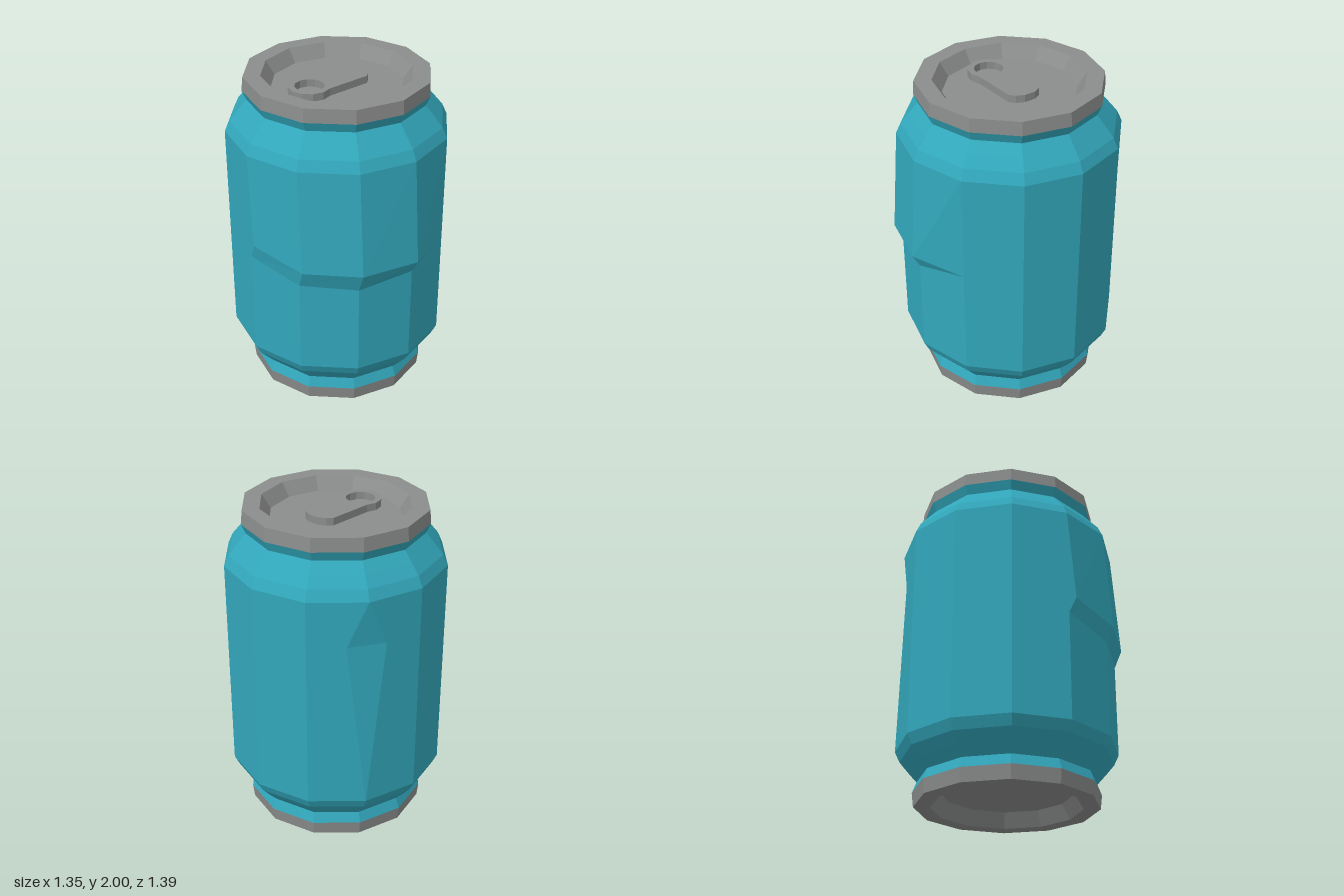
import * as THREE from 'three';

const SIDES = 12, R = 0.67, Y0 = 0.335, Y1 = 1.67;

const teal = new THREE.MeshStandardMaterial({ color: 0x32a7bb });
teal.name = 'teal paint';
const metal = new THREE.MeshStandardMaterial({ color: 0x8b8c8c });
metal.name = 'grey metal';

// one normal per face, for the low-poly look
function faceted(geometry) {
  const g = geometry.index ? geometry.toNonIndexed() : geometry;
  g.computeVertexNormals();
  return g;
}

function addPart(group, name, geometry, material) {
  const mesh = new THREE.Mesh(faceted(geometry), material);
  mesh.name = name;
  group.add(mesh);
  return mesh;
}

// profile of [radius, y] pairs turned into a 12-sided ring
function turned(profile) {
  return new THREE.LatheGeometry(profile.map(([r, y]) => new THREE.Vector2(r, y)), SIDES);
}

function corner(k, y) {
  const a = (k / SIDES) * Math.PI * 2;
  return new THREE.Vector3(Math.sin(a) * R, y, Math.cos(a) * R);
}

// crumpled wall: a bulging crease at the front and a flattened corner at the back
function wallGeometry() {
  // corner index: [crease bottom, crease top, push x, push z]
  const crease = {
    9: [1.0, 1.1, -0.012, 0.045],
    10: [0.925, 1.035, -0.012, 0.045],
    11: [0.91, 1.03, -0.012, 0.048],
    0: [0.945, 1.03, 0, 0.047],
  };
  const DENT = 5, DENT_Y = 1.39;
  const dentPoint = (dir) => corner(DENT, DENT_Y).lerp(corner(DENT + dir, DENT_Y), 0.35);

  // points up one corner, as seen from the panel on the given side of it
  const column = (k, dir) => {
    const i = k % SIDES;
    let low = corner(i, i === 8 ? 1.08 : 1.02), high = low;
    if (crease[i]) {
      const [yl, yh, dx, dz] = crease[i];
      low = corner(i, yl);
      high = corner(i, yh).add(new THREE.Vector3(dx, 0, dz));
    } else if (i === DENT) {
      low = high = dentPoint(dir);
    }
    return [corner(i, Y0), low, high, corner(i, Y1)];
  };

  const points = [];
  const tri = (a, b, c) => {
    if (new THREE.Triangle(a, b, c).getArea() > 1e-6) points.push(a, b, c);
  };
  for (let k = 0; k < SIDES; k++) {
    const a = column(k, 1), b = column(k + 1, -1);
    for (let j = 0; j < 3; j++) {
      tri(a[j], b[j], b[j + 1]);
      tri(a[j], b[j + 1], a[j + 1]);
    }
  }
  // kite-shaped dent
  tri(dentPoint(-1), dentPoint(1), corner(DENT, Y1));
  tri(dentPoint(-1), corner(DENT, Y0), dentPoint(1));
  return new THREE.BufferGeometry().setFromPoints(points);
}

// pull tab outline: round ring end joined to a chamfered tongue
function tabGeometry() {
  const cx = -0.21, r = 0.125;
  const outline = [];
  for (let i = 2; i <= 10; i++) {
    const a = (i / 12) * Math.PI * 2;
    outline.push(new THREE.Vector2(cx + Math.cos(a) * r, Math.sin(a) * r));
  }
  const tongue = [[0.13, 0.11], [0.165, 0.083], [0.188, 0.035]];
  tongue.forEach(([x, y]) => outline.push(new THREE.Vector2(x, -y)));
  tongue.reverse().forEach(([x, y]) => outline.push(new THREE.Vector2(x, y)));
  const shape = new THREE.Shape(outline);
  const hole = [];
  for (let i = 0; i < 12; i++) {
    const a = (-i / 12) * Math.PI * 2;
    hole.push(new THREE.Vector2(cx + Math.cos(a) * 0.088, Math.sin(a) * 0.088));
  }
  shape.holes.push(new THREE.Path(hole));
  return new THREE.ExtrudeGeometry(shape, { depth: 0.045, bevelEnabled: false }).rotateX(-Math.PI / 2);
}

export function createModel() {
  const group = new THREE.Group();
  group.name = 'drinkCan';
  const can = new THREE.Group();
  can.name = 'can';
  can.position.set(0.004, 0, -0.025);
  group.add(can);

  // painted body
  addPart(can, 'wall', wallGeometry(), teal);
  addPart(can, 'lowerShoulder',
    turned([[0.56, 0.085], [0.535, 0.15], [0.59, 0.212], [0.64, 0.272], [R, Y0]]), teal);
  addPart(can, 'upperShoulder',
    turned([[R, Y1], [0.64, 1.735], [0.59, 1.795], [0.535, 1.86], [0.56, 1.917]]), teal);

  // recessed metal ends
  addPart(can, 'base',
    turned([[0, 0.09], [0.395, 0.09], [0.45, 0], [0.55, 0], [0.56, 0.085]]), metal);
  addPart(can, 'lid',
    turned([[0.56, 1.917], [0.553, 2], [0.45, 2], [0.395, 1.92], [0, 1.92]]), metal);

  // opener
  addPart(can, 'pullTab', tabGeometry(), metal).position.y = 1.92;
  return group;
}
